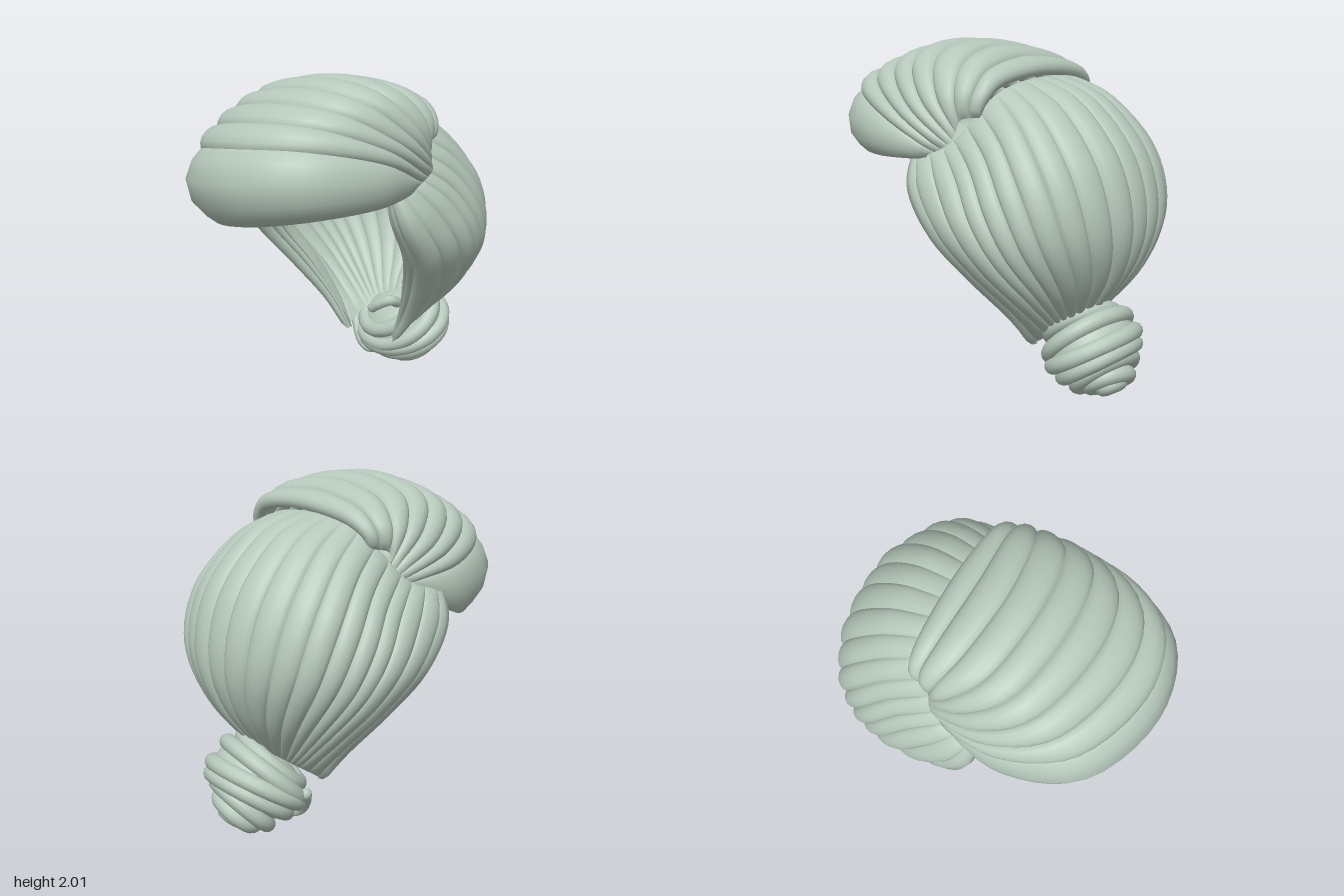
import * as THREE from 'three';

const material = new THREE.MeshStandardMaterial({ color: 0xb6c8bb, side: THREE.DoubleSide });
const curve = (pts) => new THREE.CatmullRomCurve3(pts, false, 'catmullrom', 0.5);
const points = (row) => row.map((p) => new THREE.Vector3(...p));

let seed = 7;
const rand = () => (seed = (seed * 16807) % 2147483647) / 2147483647;

function addMesh(parent, name, geometry) {
  const mesh = new THREE.Mesh(geometry, material);
  mesh.name = name;
  parent.add(mesh);
  return mesh;
}

// Smooth guide surface through rows of control points: a runs across rows, t along them
function guideSurface(rows) {
  const curves = rows.map((r) => curve(points(r)));
  return (a, t) => {
    const c = curve(curves.map((k) => k.getPoint(THREE.MathUtils.clamp(t, 0, 1))));
    return c.getPoint(THREE.MathUtils.clamp(a, 0, 1));
  };
}

// One lock of hair: a closed lens section between a0 and a1, lofted along the surface
function lockGeometry(surface, a0, a1, outer, inner, blunt = 0.4) {
  const NT = 30, NS = 14, e = 0.004, pos = [], idx = [];
  const mid = (a0 + a1) / 2, half = ((a1 - a0) / 2) * 1.1;
  for (let i = 0; i <= NT; i++) {
    const t = i / NT;
    const taper = Math.pow(Math.max(0, Math.sin(Math.PI * t)), blunt);
    for (let j = 0; j < NS; j++) {
      const phi = (j / NS) * Math.PI * 2, s = Math.sin(phi);
      const a = THREE.MathUtils.clamp(mid + half * Math.cos(phi), 0, 1);
      const da = surface(a + e, t).sub(surface(a - e, t));
      const dt = surface(a, t + e).sub(surface(a, t - e));
      const n = da.cross(dt).normalize();
      const p = surface(a, t).addScaledVector(n, s * taper * (s > 0 ? outer : inner));
      pos.push(p.x, p.y, p.z);
    }
  }
  for (let i = 0; i < NT; i++) for (let j = 0; j < NS; j++) {
    const k = (j + 1) % NS, b = i * NS, c = b + NS;
    idx.push(b + j, c + j, c + k, b + j, c + k, b + k);
  }
  const g = new THREE.BufferGeometry();
  g.setAttribute('position', new THREE.Float32BufferAttribute(pos, 3));
  g.setIndex(idx);
  g.computeVertexNormals();
  return g;
}

// Swept-back hair: guide rows from the centre back round to the inner front edge
function buildBack(parent) {
  const side = [
    [[0, 1.80, -0.28], [0, 1.68, -0.58], [0, 1.41, -0.83], [0, 1.08, -0.925], [0, 0.78, -0.86], [0, 0.46, -0.64]],
    [[0.36, 1.74, -0.24], [0.44, 1.59, -0.48], [0.5, 1.34, -0.69], [0.47, 1.04, -0.79], [0.32, 0.74, -0.76], [0.12, 0.44, -0.61]],
    [[0.56, 1.46, -0.05], [0.64, 1.32, -0.23], [0.7, 1.12, -0.38], [0.66, 0.92, -0.49], [0.48, 0.68, -0.56], [0.17, 0.38, -0.53]],
    [[0.58, 1.39, 0.19], [0.65, 1.2, 0.13], [0.65, 0.97, -0.04], [0.53, 0.74, -0.2], [0.35, 0.49, -0.33], [0.19, 0.26, -0.36]],
    [[0.46, 1.38, 0.1], [0.47, 1.2, 0.05], [0.45, 0.97, -0.1], [0.36, 0.74, -0.24], [0.26, 0.48, -0.34], [0.17, 0.26, -0.38]],
  ];
  const mirrored = side.slice(1).reverse().map((r) => r.map(([x, y, z]) => [-x, y, z]));
  const surface = guideSurface([...mirrored, ...side]);
  const breaks = [0.15, 0.45, 0.75, 1.05, 1.35, 1.6, 1.85, 2.1, 2.4, 2.75, 3.5, 3.77, 4];
  const group = new THREE.Group();
  group.name = 'sweptBackHair';
  parent.add(group);
  const lock = (v0, v1) => addMesh(group, 'backLock',
    lockGeometry(surface, (4 + v0) / 8, (4 + v1) / 8, 0.035 + 0.015 * rand(), 0.03));
  lock(-breaks[0], breaks[0]);
  for (let i = 0; i + 1 < breaks.length; i++) {
    lock(breaks[i], breaks[i + 1]);
    lock(-breaks[i + 1], -breaks[i]);
  }
}

// Fringe: arched rolls stacked from the crown down to the brow
function buildFringe(parent) {
  const surface = guideSurface([
    [[-0.44, 1.63, -0.24], [-0.43, 1.72, -0.28], [-0.28, 1.79, -0.3], [0.06, 1.83, -0.31], [0.38, 1.8, -0.3], [0.49, 1.72, -0.28], [0.52, 1.63, -0.25]],
    [[-0.49, 1.62, -0.14], [-0.46, 1.75, -0.13], [-0.28, 1.86, -0.08], [0.07, 1.92, -0.05], [0.38, 1.88, -0.09], [0.53, 1.76, -0.13], [0.56, 1.61, -0.15]],
    [[-0.52, 1.55, -0.13], [-0.48, 1.73, 0.05], [-0.31, 1.87, 0.2], [0.08, 1.94, 0.25], [0.42, 1.89, 0.2], [0.57, 1.72, 0.05], [0.59, 1.53, -0.13]],
    [[-0.55, 1.5, -0.1], [-0.53, 1.64, 0.2], [-0.35, 1.78, 0.44], [0.08, 1.85, 0.54], [0.42, 1.82, 0.46], [0.6, 1.66, 0.2], [0.62, 1.48, -0.1]],
    [[-0.56, 1.45, -0.04], [-0.56, 1.52, 0.33], [-0.37, 1.62, 0.67], [0.06, 1.69, 0.82], [0.42, 1.7, 0.72], [0.62, 1.6, 0.36], [0.62, 1.43, -0.01]],
    [[-0.57, 1.41, 0.02], [-0.57, 1.36, 0.38], [-0.39, 1.4, 0.76], [0.05, 1.46, 0.92], [0.45, 1.5, 0.8], [0.64, 1.48, 0.42], [0.62, 1.41, 0.04]],
    [[-0.57, 1.37, 0.05], [-0.54, 1.21, 0.36], [-0.34, 1.19, 0.64], [0.06, 1.26, 0.8], [0.42, 1.33, 0.72], [0.61, 1.36, 0.4], [0.61, 1.38, 0.07]],
  ]);
  const group = new THREE.Group();
  group.name = 'fringe';
  parent.add(group);
  const breaks = [0, 0.55, 1.2, 1.8, 2.4, 3, 3.55, 4.15, 6];
  for (let i = 0; i + 1 < breaks.length; i++) {
    addMesh(group, 'fringeRoll', lockGeometry(surface, breaks[i] / 6, breaks[i + 1] / 6, 0.055, 0.04, 0.35));
  }
}

// Low bun: coiled rings round a core, on an axis leaning down and back
function buildBun(parent) {
  const bun = new THREE.Group();
  bun.name = 'bun';
  bun.position.set(0.025, 0.28, -0.67);
  bun.quaternion.setFromUnitVectors(new THREE.Vector3(0, 0, 1), new THREE.Vector3(0.13, -0.77, -0.62).normalize());
  bun.scale.x = 1.12;
  parent.add(bun);
  addMesh(bun, 'bunCore', new THREE.SphereGeometry(0.26, 32, 20)).scale.z = 0.75;
  const rings = [[-0.14, 0.19], [-0.065, 0.24], [0.015, 0.25], [0.09, 0.22], [0.16, 0.17], [0.215, 0.11], [0.245, 0.045]];
  rings.forEach(([s, r], i) => {
    const ring = addMesh(bun, 'bunCoil', new THREE.TorusGeometry(r, 0.05, 12, 48));
    ring.position.z = s;
    ring.rotation.set(0.1 * Math.sin(i * 2), 0.16 * Math.cos(i * 1.3), 0);
  });
  // Loose ends tucked round the bun
  const tufts = [
    [[-0.06, 0.4, -0.46], [0, 0.44, -0.46], [0.07, 0.47, -0.49], [0.08, 0.42, -0.58]],
    [[-0.27, 0.25, -0.55], [-0.19, 0.14, -0.5], [-0.12, 0.08, -0.51], [-0.04, 0.1, -0.6]],
  ];
  for (const t of tufts) {
    addMesh(parent, 'looseEnd', new THREE.TubeGeometry(curve(points(t)), 20, 0.035, 10));
    addMesh(parent, 'looseEndTip', new THREE.SphereGeometry(0.035, 10, 8)).position.set(...t[0]);
  }
}

export function createModel() {
  const model = new THREE.Group();
  model.name = 'hairstyle';
  buildBack(model);
  buildFringe(model);
  buildBun(model);
  return model;
}
